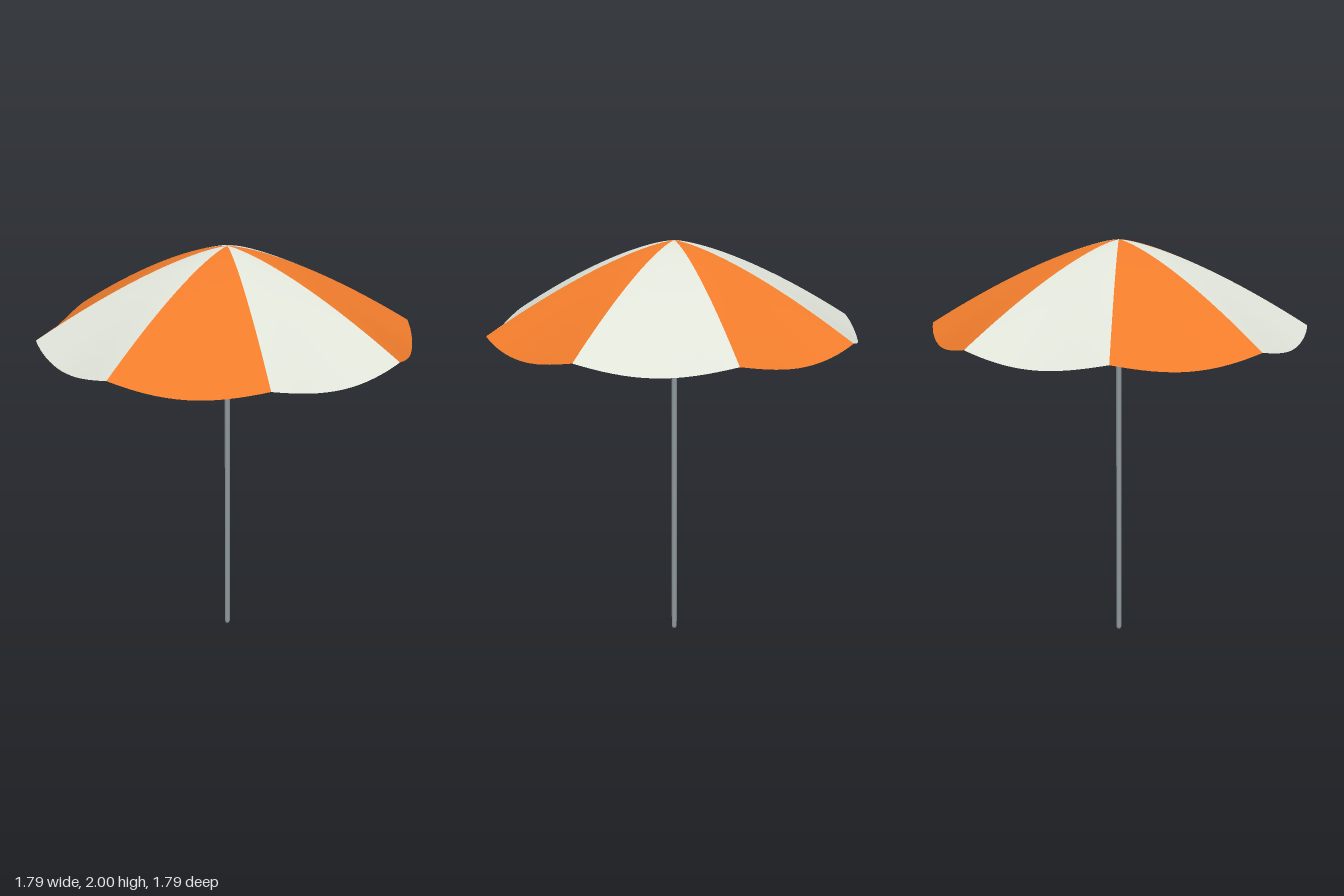
import * as THREE from 'three';

const PANELS = 8, STEP = (Math.PI * 2) / PANELS, RADIUS = 0.895;

// Point on the canopy: panel angle, u across the panel (0..1), t from apex to rim
function canopyPoint(start, u, t) {
  const sag = Math.sin(Math.PI * u);
  const angle = start + u * STEP;
  const r = RADIUS * t * (1 - 0.033 * sag * t);
  const y = 2 - 0.4 * Math.pow(t, 1.4) - 0.045 * sag * t * t;
  return new THREE.Vector3(r * Math.cos(angle), y, r * Math.sin(angle));
}

function panelGeometry(start) {
  const geo = new THREE.PlaneGeometry(1, 1, 16, 28);
  const pos = geo.attributes.position;
  for (let i = 0; i < pos.count; i++) {
    const p = canopyPoint(start, pos.getX(i) + 0.5, pos.getY(i) + 0.5);
    pos.setXYZ(i, p.x, p.y, p.z);
  }
  geo.computeVertexNormals();
  return geo;
}

function ribGeometry(start) {
  const points = [];
  for (let i = 0; i <= 12; i++) {
    const p = canopyPoint(start, 0, 0.01 + (0.985 * i) / 12);
    p.y -= 0.006;
    points.push(p);
  }
  return new THREE.TubeGeometry(new THREE.CatmullRomCurve3(points), 24, 0.005, 6);
}

export function createModel() {
  const model = new THREE.Group();
  const white = new THREE.MeshStandardMaterial({ color: 0xdfe3d8, side: THREE.DoubleSide });
  const orange = new THREE.MeshStandardMaterial({ color: 0xf07c2c, side: THREE.DoubleSide });
  const metal = new THREE.MeshStandardMaterial({ color: 0x8e989d });
  const add = (parent, name, geometry, material) => {
    const mesh = new THREE.Mesh(geometry, material);
    mesh.name = name;
    parent.add(mesh);
  };

  // Fabric panels in alternating colours, with a rib under each seam
  const canopy = new THREE.Group();
  canopy.name = 'canopy';
  const ribs = new THREE.Group();
  ribs.name = 'ribs';
  for (let i = 0; i < PANELS; i++) {
    add(canopy, 'panel' + (i + 1), panelGeometry(i * STEP), i % 2 ? orange : white);
    add(ribs, 'rib' + (i + 1), ribGeometry(i * STEP), metal);
  }
  model.add(canopy, ribs);

  // Pole with a blunt foot and a slimmer upper section
  const profile = [[0, 0], [0.009, 0], [0.013, 0.012], [0.013, 1.66], [0.01, 1.67], [0.01, 1.985], [0, 1.985]];
  add(model, 'pole', new THREE.LatheGeometry(profile.map(([x, y]) => new THREE.Vector2(x, y)), 20), metal);
  return model;
}
